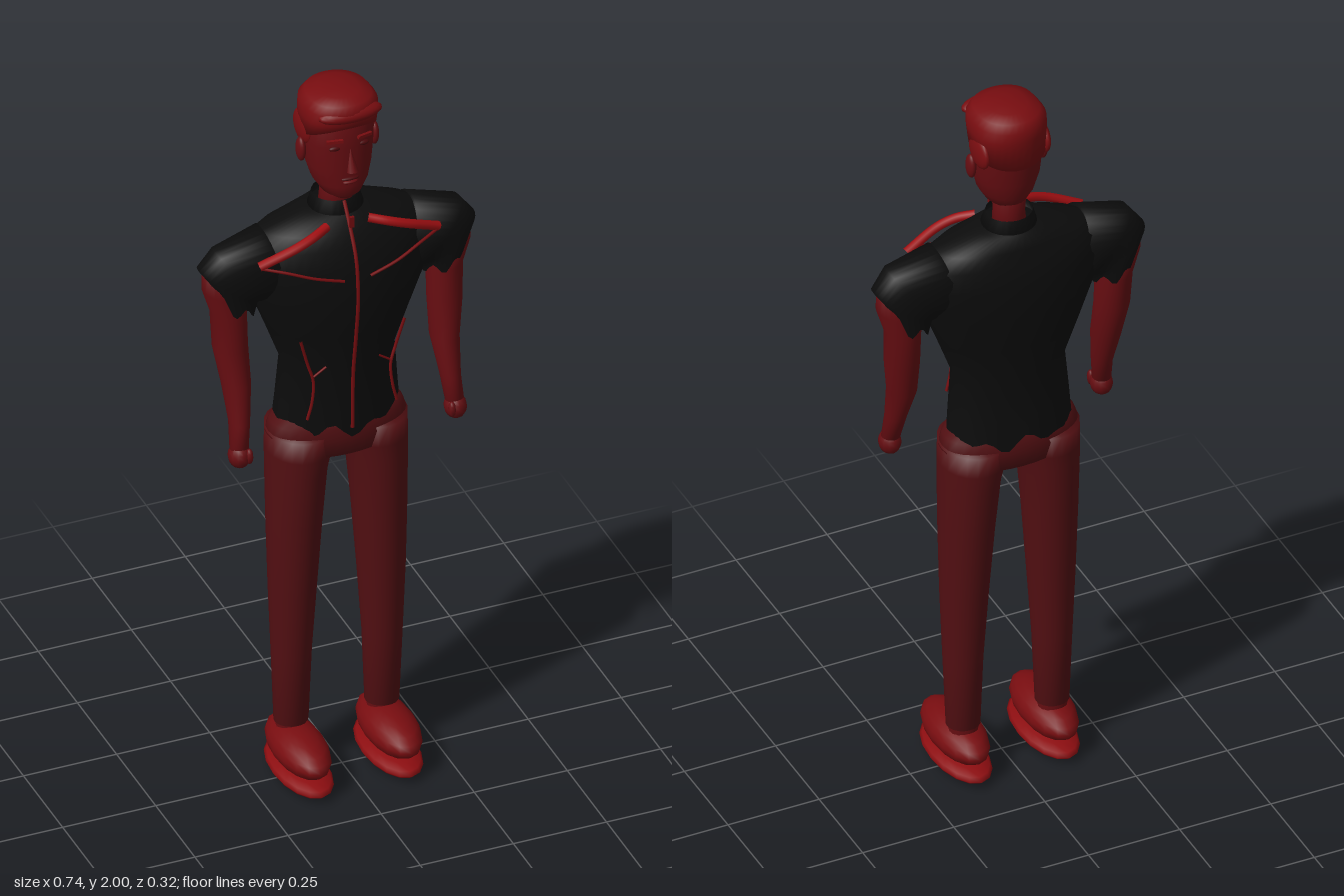
import * as THREE from 'three';

const mat = (name, color, side = THREE.FrontSide) => {
  const m = new THREE.MeshStandardMaterial({ color, side });
  m.name = name;
  return m;
};

// Ring: [ax, ay, bx, by, zFront, zBack]; a is the +x end, b the -x end, listed from the bottom up.
const level = (y, rx, zf, zb, cx = 0) => [cx + rx, y, cx - rx, y, zf, zb];
const mirrorRing = ([ax, ay, bx, by, zf, zb]) => [-bx, by, -ax, ay, zf, zb];

// Skins a body through rings; pf/pb shape the front and back, hem(theta) shifts the lowest ring in y.
function loft(rings, { n = 24, pf = 1, pb = 1, hem = null, capBottom = true, capTop = true } = {}) {
  const pos = [], idx = [];
  rings.forEach(([ax, ay, bx, by, zf, zb], j) => {
    const zc = (zf + zb) / 2, zr = (zf - zb) / 2;
    for (let i = 0; i < n; i++) {
      const t = (i / n) * Math.PI * 2, c = Math.cos(t), s = Math.sin(t);
      const z = s >= 0 ? Math.pow(s, pf) : -Math.pow(-s, pb);
      pos.push((ax + bx) / 2 + ((ax - bx) / 2) * c,
        (ay + by) / 2 + ((ay - by) / 2) * c + (hem && j === 0 ? hem(t) : 0), zc + zr * z);
    }
  });
  const last = rings.length - 1;
  for (let j = 0; j < last; j++) for (let i = 0; i < n; i++) {
    const a = j * n + i, b = j * n + (i + 1) % n;
    idx.push(a, a + n, b, b, a + n, b + n);
  }
  for (const [on, j] of [[capBottom, 0], [capTop, last]]) {
    if (!on) continue;
    const r = rings[j], c = pos.length / 3;
    pos.push((r[0] + r[2]) / 2, (r[1] + r[3]) / 2, (r[4] + r[5]) / 2);
    for (let i = 0; i < n; i++) {
      const a = j * n + i, b = j * n + (i + 1) % n;
      idx.push(c, ...(j === 0 ? [a, b] : [b, a]));
    }
  }
  const g = new THREE.BufferGeometry();
  g.setAttribute('position', new THREE.Float32BufferAttribute(pos, 3));
  g.setIndex(idx);
  g.computeVertexNormals();
  return g;
}

const blob = (x, y, z, rx, ry, rz, w = 20, h = 14) =>
  new THREE.SphereGeometry(1, w, h).scale(rx, ry, rz).translate(x, y, z);
const tube = (pts, r) => new THREE.TubeGeometry(
  new THREE.CatmullRomCurve3(pts.map(p => new THREE.Vector3(...p))), 24, r, 8);

export function createModel() {
  const root = new THREE.Group();
  root.name = 'standingMan';
  const skin = mat('skin', 0x650d11);
  const hair = mat('hair', 0x780d10);
  const face = mat('facialFeatures', 0x4a070a);
  const cloth = mat('trousers', 0x520f12, THREE.DoubleSide);
  const black = mat('shirt', 0x0c0c0c, THREE.DoubleSide);
  const trim = mat('trim', 0xa00f12);
  const darkTrim = mat('seam', 0x750c0f);
  const shoe = mat('shoe', 0x780d10);
  const sole = mat('sole', 0x8c0d10);
  const add = (name, geo, m) => {
    const mesh = new THREE.Mesh(geo, m);
    mesh.name = name;
    root.add(mesh);
    return mesh;
  };

  // Head and neck
  add('neck', loft([level(1.62, 0.045, 0, -0.09), level(1.68, 0.04, 0, -0.085), level(1.76, 0.045, 0, -0.09)]), skin);
  add('head', loft([
    level(1.7, 0.03, 0.035, -0.06), level(1.715, 0.052, 0.05, -0.085), level(1.745, 0.07, 0.056, -0.1),
    level(1.79, 0.083, 0.053, -0.11), level(1.86, 0.09, 0.055, -0.117), level(1.93, 0.088, 0.05, -0.12),
    level(1.975, 0.06, 0.02, -0.09)], { pf: 0.85 }), skin);
  const nose = new THREE.ConeGeometry(0.015, 0.065, 8).rotateX(-0.22).translate(0, 1.83, 0.062);
  add('nose', nose, skin);
  add('upperLip', blob(0, 1.77, 0.053, 0.024, 0.005, 0.008), face);
  add('lowerLip', blob(0, 1.76, 0.053, 0.02, 0.005, 0.009), skin);

  // Hair cap: low behind and at the sides, lifted over the forehead
  add('hair', loft([
    level(1.88, 0.094, 0.058, -0.125), level(1.935, 0.097, 0.066, -0.13), level(1.965, 0.095, 0.07, -0.13),
    level(1.985, 0.08, 0.058, -0.115), level(1.996, 0.05, 0.03, -0.085), level(2.0, 0.02, 0, -0.05)],
  { n: 32, pf: 0.7, pb: 0.85, hem: t => (Math.sin(t) > 0 ? 0.04 * Math.sin(t) : 0.03 * Math.sin(t)) }), hair);
  add('quiff', blob(0.005, 1.955, 0.04, 0.085, 0.024, 0.033), hair);

  // Shirt body, with a ragged hem
  add('shirtBody', loft([
    level(1.03, 0.165, 0.065, -0.14), level(1.1, 0.16, 0.064, -0.132), level(1.22, 0.15, 0.068, -0.127),
    level(1.32, 0.187, 0.086, -0.145), level(1.42, 0.226, 0.1, -0.155), level(1.52, 0.25, 0.093, -0.16),
    level(1.575, 0.25, 0.073, -0.142), level(1.61, 0.2, 0.055, -0.13), level(1.645, 0.085, 0.03, -0.115)],
  { n: 48, pf: 1.15, pb: 0.85, capBottom: false,
    hem: t => 0.013 * Math.sin(7 * t + 0.6) + 0.01 * Math.sin(11 * t) }), black);
  add('collar', loft([level(1.63, 0.075, 0.032, -0.115), level(1.68, 0.06, 0.012, -0.1)], { capTop: false }), black);

  // Zip down the front
  add('zip', tube([[0, 1.68, 0.014], [0, 1.62, 0.055], [0, 1.55, 0.092], [0, 1.44, 0.104],
    [0, 1.32, 0.09], [0, 1.2, 0.072], [0, 1.04, 0.068]], 0.005), darkTrim);
  add('zipPull', new THREE.BoxGeometry(0.012, 0.03, 0.008).translate(0, 1.645, 0.062), darkTrim);

  // Hips join the two trouser legs
  add('hips', loft([
    level(0.93, 0.04, 0.01, -0.08), level(0.95, 0.16, 0.05, -0.13), level(1.0, 0.185, 0.06, -0.14),
    level(1.035, 0.175, 0.055, -0.132), level(1.07, 0.15, 0.045, -0.115)], { n: 32, pf: 0.85, pb: 0.85 }), cloth);

  for (const s of [1, -1]) {
    const side = s > 0 ? 'left' : 'right';
    const put = (name, geo, m) => add(side + name, geo, m);
    const limb = (rings, opts) => loft(s > 0 ? rings : rings.map(mirrorRing), opts);
    const line = (pts, r) => tube(pts.map(([x, y, z]) => [s * x, y, z]), r);

    // Face details and ear
    put('Ear', blob(s * 0.098, 1.832, -0.03, 0.012, 0.034, 0.02), skin);
    put('Sideburn', blob(s * 0.084, 1.885, -0.05, 0.016, 0.045, 0.05), hair);
    put('Eye', blob(s * 0.037, 1.862, 0.045, 0.017, 0.007, 0.008), face);
    put('Brow', new THREE.BoxGeometry(0.042, 0.008, 0.008).rotateY(s * 0.3).rotateZ(s * -0.08)
      .translate(s * 0.04, 1.885, 0.05), hair);

    // Sleeve, open along the outer arm
    put('Sleeve', limb([
      [0.335, 1.43, 0.225, 1.405, 0.026, -0.1], [0.368, 1.53, 0.215, 1.42, 0.026, -0.102],
      [0.328, 1.583, 0.19, 1.42, 0.036, -0.102], [0.2, 1.617, 0.15, 1.42, 0.045, -0.12]],
    { n: 32, capBottom: false, pf: 0.85, pb: 0.85,
      hem: t => 0.07 * Math.pow(Math.max(0, s * Math.cos(t)), 3) + 0.014 * Math.sin(6 * t) }), black);

    // Arm and fist
    put('Arm', limb([
      level(1.03, 0.024, 0.055, 0.005, 0.289), level(1.1, 0.026, 0.05, -0.018, 0.283),
      level(1.2, 0.037, 0.032, -0.058, 0.28), level(1.3, 0.045, 0.016, -0.078, 0.288),
      level(1.4, 0.046, 0.014, -0.09, 0.29), [0.358, 1.47, 0.25, 1.43, 0.014, -0.09],
      [0.358, 1.525, 0.25, 1.48, 0.005, -0.08], [0.32, 1.55, 0.26, 1.52, -0.02, -0.06]]), skin);
    put('Fist', blob(s * 0.29, 1.01, 0.034, 0.029, 0.034, 0.032, 12, 8), skin);
    put('Thumb', blob(s * 0.272, 1.015, 0.056, 0.01, 0.022, 0.012, 8, 6), skin);

    // Trouser leg
    put('Leg', limb([
      level(0.145, 0.044, 0.006, -0.077, 0.122), level(0.35, 0.051, 0.02, -0.088, 0.122),
      level(0.55, 0.061, 0.034, -0.102, 0.119), level(0.75, 0.07, 0.046, -0.118, 0.114),
      level(0.9, 0.077, 0.055, -0.132, 0.108), level(0.95, 0.083, 0.058, -0.137, 0.102),
      level(1.01, 0.084, 0.06, -0.14, 0.1)], { n: 20 }), cloth);

    // Shoe, toes turned slightly in front of a flat sole
    put('Ankle', new THREE.CylinderGeometry(0.038, 0.038, 0.08, 16).translate(s * 0.122, 0.12, -0.036), skin);
    put('Shoe', blob(s * 0.122, 0.09, 0.01, 0.067, 0.052, 0.145, 16, 10), shoe);
    put('Sole', blob(s * 0.12, 0.026, 0.01, 0.07, 0.024, 0.151, 16, 8), sole);

    // Shoulder piping and seams
    put('ShoulderPiping', line([[0.055, 1.628, 0.035], [0.1, 1.618, 0.054], [0.15, 1.601, 0.06],
      [0.24, 1.562, 0.045]], 0.012), trim);
    put('ChestSeam', line([[0.035, 1.5, 0.1], [0.11, 1.522, 0.093], [0.18, 1.545, 0.073],
      [0.235, 1.557, 0.05]], 0.004), darkTrim);
    put('WaistSeam', line([[0.14, 1.33, 0.068], [0.118, 1.25, 0.062], [0.104, 1.2, 0.064],
      [0.108, 1.14, 0.066], [0.12, 1.09, 0.064]], 0.004), darkTrim);
    put('PocketSeam', line([[0.105, 1.21, 0.063], [0.07, 1.235, 0.066]], 0.003), darkTrim);
  }
  return root;
}
